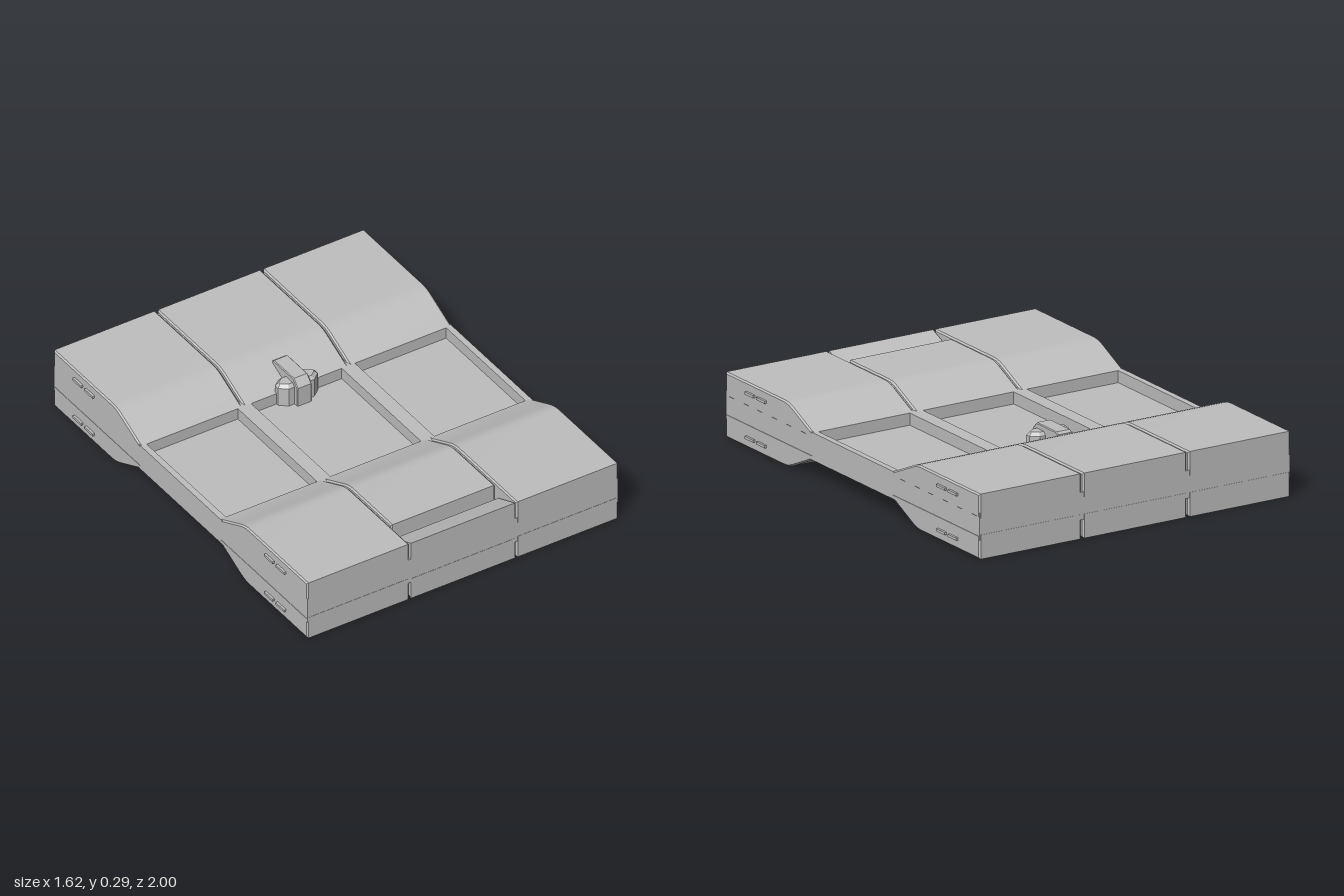
import * as THREE from 'three';
import { toCreasedNormals } from 'three/addons/utils/BufferGeometryUtils.js';

const H = 0.295;   // overall height
const LOW = 0.085; // underside of the thin middle section
const HIGH = 0.21; // upper side of the thin middle section

export function createModel() {
  const model = new THREE.Group();
  model.name = 'floorModule';
  const grey = new THREE.MeshStandardMaterial({ color: 0xbebebe });
  grey.name = 'plainGrey';

  const add = (name, geometry) => {
    const mesh = new THREE.Mesh(geometry, grey);
    mesh.name = name;
    model.add(mesh);
    return mesh;
  };

  const box = (name, x0, x1, y0, y1, z0, z1) => {
    const mesh = add(name, new THREE.BoxGeometry(x1 - x0, y1 - y0, z1 - z0));
    mesh.position.set((x0 + x1) / 2, (y0 + y1) / 2, (z0 + z1) / 2);
  };

  // Side profile of [z, y] points swept across x, with chamfered ends
  const sweep = (name, points, x0, x1, bevel) => {
    const shape = new THREE.Shape(points.map(([z, y]) => new THREE.Vector2(z, y)));
    const g = new THREE.ExtrudeGeometry(shape, {
      depth: x1 - x0 - 2 * bevel, bevelEnabled: bevel > 0, bevelSize: bevel,
      bevelThickness: bevel, bevelOffset: -bevel, bevelSegments: 1,
    });
    g.rotateY(-Math.PI / 2);
    g.translate(x1 - bevel, 0, 0);
    add(name, toCreasedNormals(g, 0.3));
  };

  // Raised cover: a ramp rounding into a flat top, ending at zEnd
  const coverProfile = (zEnd) => [
    [0.312, 0.185], [0.312, HIGH], [0.325, 0.213], [0.455, 0.272], [0.475, 0.281],
    [0.495, 0.288], [0.515, 0.293], [0.54, H], [zEnd, H], [zEnd, 0.185],
  ];
  const lipProfile = [[0.87, 0.19], [0.87, 0.24], [1, H], [1, 0.19]];

  const columns = [[-0.797, -0.274], [-0.266, 0.266], [0.274, 0.797]];
  for (const sz of [1, -1]) {
    // Solid core between the upper and lower covers
    box('endCore', -0.796, 0.796, LOW, HIGH, Math.min(sz * 0.312, sz * 0.999), Math.max(sz * 0.312, sz * 0.999));
    for (const top of [true, false]) {
      const place = (points) => points.map(([z, y]) => [z * sz, top ? y : H - y]);
      columns.forEach(([x0, x1], i) => {
        const recessed = sz > 0 && i === 1;
        sweep('cover', place(coverProfile(recessed ? 0.845 : 1)), x0, x1, 0.007);
        if (recessed) sweep('slopedLip', place(lipProfile), x0, x1, 0);
      });
    }
  }

  // Middle floor and the lengthwise rails around its three pockets
  box('middleFloor', -0.78, 0.78, 0.14, 0.155, -0.32, 0.32);
  for (const [x0, x1] of [[-0.796, -0.767], [-0.3, -0.232], [0.232, 0.3], [0.767, 0.796]]) {
    box('rail', x0, x1, LOW, HIGH, -0.32, 0.32);
  }

  // Small clips on both sides
  for (const sx of [1, -1]) {
    for (const y of [0.047, 0.248]) {
      for (const z of [-0.8, -0.708, 0.708, 0.8]) {
        box('sideClip', sx * 0.799 - 0.009, sx * 0.799 + 0.009, y - 0.006, y + 0.006, z - 0.033, z + 0.033);
      }
    }
  }

  // Latch: a clamp gripping the cover edge, with a faceted barrel
  sweep('latchClamp', [
    [-0.247, 0.045], [-0.247, 0.25], [-0.28, 0.284], [-0.435, 0.284], [-0.448, 0.274],
    [-0.448, 0.25], [-0.34, 0.21], [-0.34, 0.085], [-0.448, 0.045],
    [-0.448, 0.021], [-0.435, 0.011], [-0.28, 0.011],
  ], -0.037, 0.037, 0.004);
  const barrel = new THREE.Shape([
    [-0.102, 0.3], [-0.102, 0.325], [-0.065, 0.353], [0.065, 0.353],
    [0.102, 0.325], [0.102, 0.3], [0.065, 0.27], [-0.065, 0.27],
  ].map(([x, y]) => new THREE.Vector2(x, y)));
  const barrelGeometry = new THREE.ExtrudeGeometry(barrel, {
    depth: 0.195, bevelSize: 0.015, bevelThickness: 0.015, bevelOffset: -0.015, bevelSegments: 1,
  });
  barrelGeometry.rotateX(-Math.PI / 2);
  barrelGeometry.translate(0, 0.05, 0);
  add('latchBarrel', barrelGeometry);

  return model;
}
